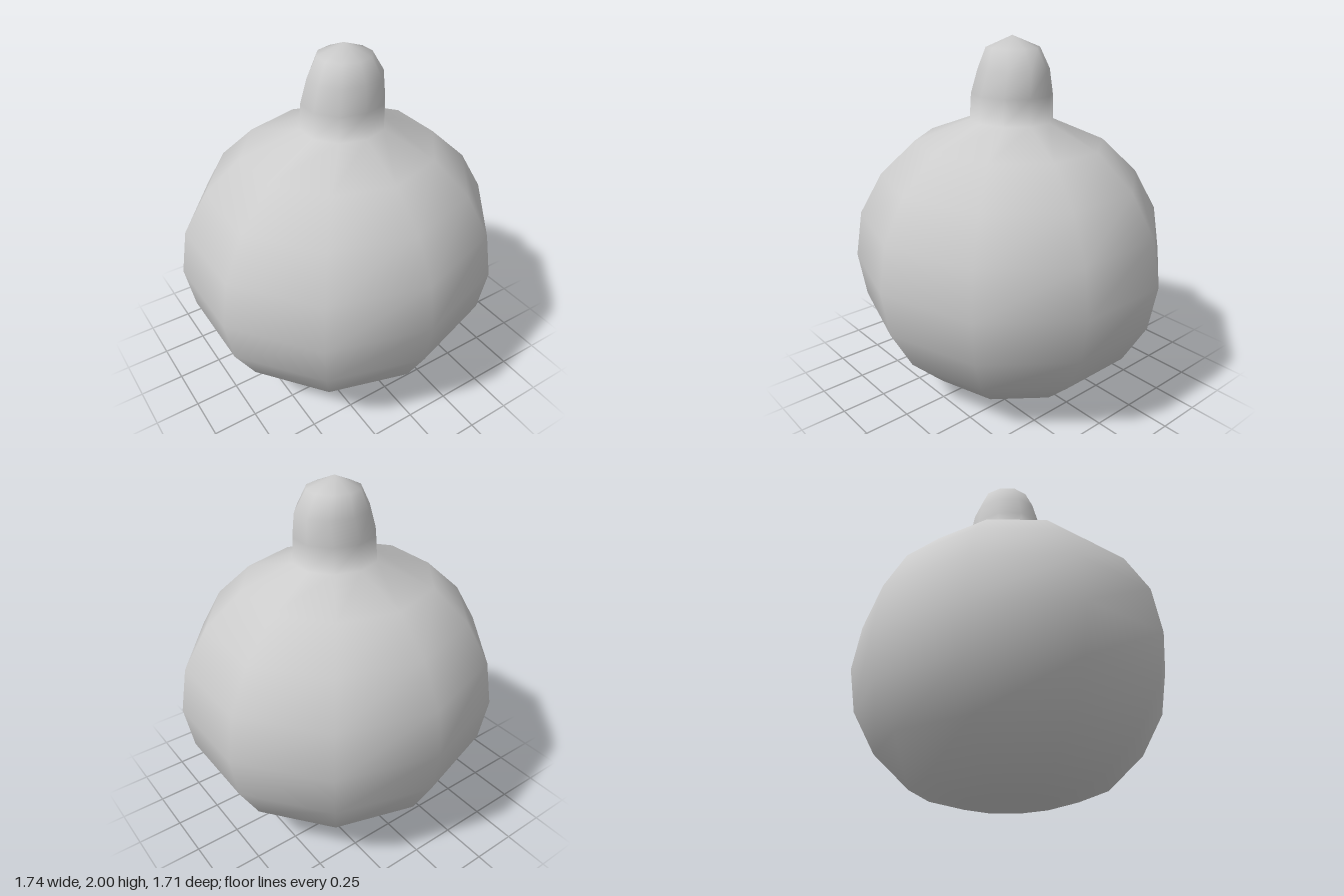
import * as THREE from 'three';

const SIDES = 10;

// Cross-sections from bottom to top: [y, radius x, radius z, centre x]
const RINGS = [
  // round body
  [0.04, 0.285, 0.27, 0],
  [0.11, 0.54, 0.505, 0],
  [0.295, 0.742, 0.695, 0],
  [0.525, 0.873, 0.818, 0],
  [0.775, 0.917, 0.857, 0],
  [1.03, 0.873, 0.818, 0],
  [1.255, 0.742, 0.695, 0],
  [1.44, 0.54, 0.505, 0],
  // stem, leaning slightly to +x
  [1.56, 0.237, 0.22, 0.02],
  [1.7, 0.23, 0.213, 0.023],
  [1.83, 0.208, 0.18, 0.037],
  [1.94, 0.147, 0.14, 0.03],
];

// Joins elliptical rings into one smooth skin closed by a pole at each end
function loft(rings, bottom, top) {
  const positions = [];
  const index = [];
  for (const [y, rx, rz, cx] of rings) {
    for (let i = 0; i < SIDES; i++) {
      const a = (i / SIDES) * Math.PI * 2;
      positions.push(cx + rx * Math.sin(a), y, rz * Math.cos(a));
    }
  }
  const low = rings.length * SIDES;
  const high = low + 1;
  positions.push(...bottom, ...top);

  const last = (rings.length - 1) * SIDES;
  for (let i = 0; i < SIDES; i++) {
    const j = (i + 1) % SIDES;
    index.push(low, j, i, high, last + i, last + j);
    for (let r = 0; r < last; r += SIDES) {
      index.push(r + i, r + j, r + SIDES + j);
      index.push(r + i, r + SIDES + j, r + SIDES + i);
    }
  }
  const geometry = new THREE.BufferGeometry();
  geometry.setAttribute('position', new THREE.Float32BufferAttribute(positions, 3));
  geometry.setIndex(index);
  geometry.computeVertexNormals();
  return geometry;
}

export function createModel() {
  const group = new THREE.Group();
  group.name = 'roundFruit';

  // body and stem share one continuous skin
  const skin = new THREE.Mesh(
    loft(RINGS, [0, 0, 0], [0.025, 2, 0]),
    new THREE.MeshStandardMaterial({ color: 0xcccccc })
  );
  skin.name = 'bodyWithStem';
  group.add(skin);
  return group;
}
